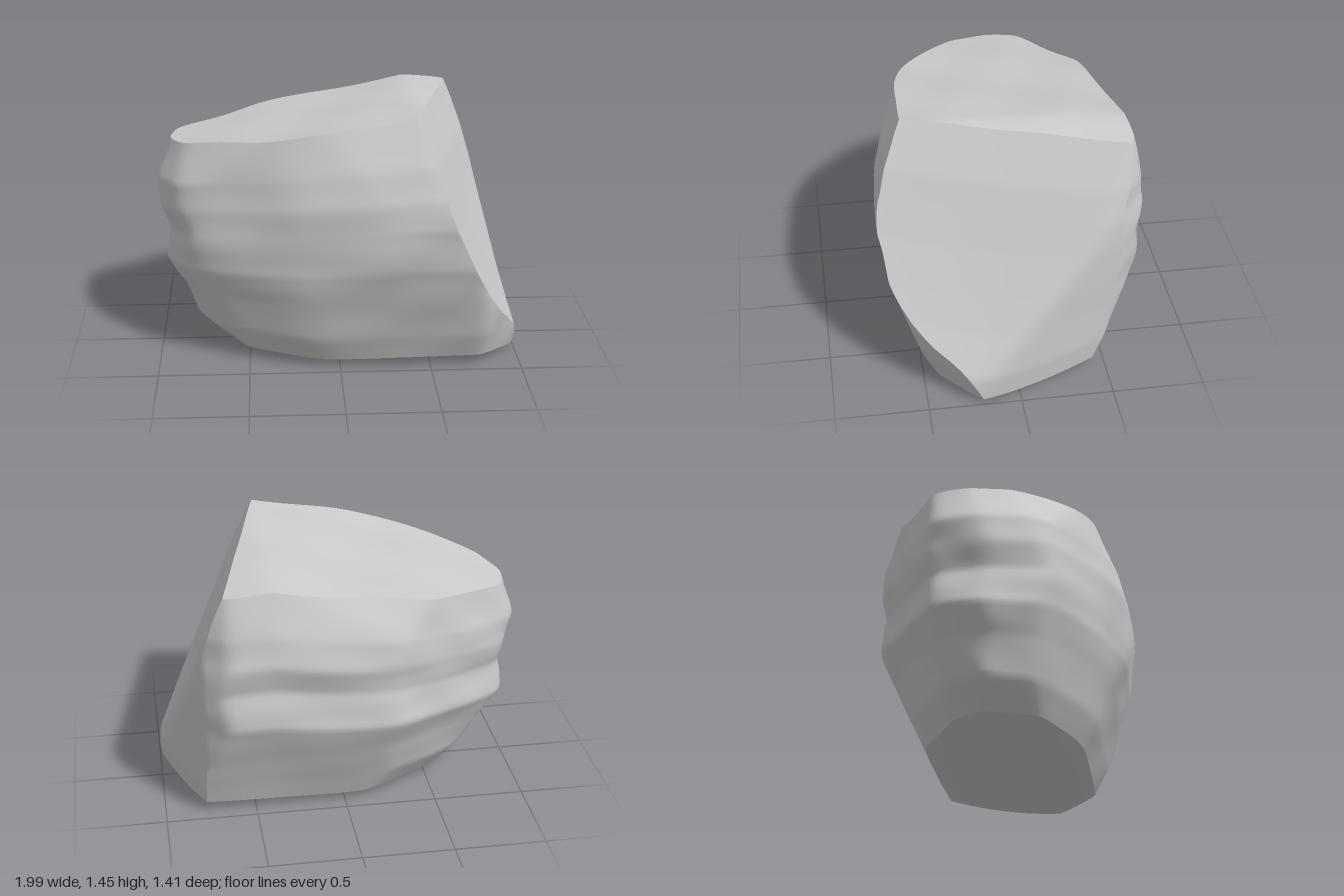
import * as THREE from 'three';
import { toCreasedNormals } from 'three/addons/utils/BufferGeometryUtils.js';

// Heights (0 = base, 1 = top rim) at which each side's distance is given
const LEVELS = [0, 0.1, 0.27, 0.4, 0.57, 0.69, 0.82, 1];

// Weathered sides: outward direction [x, z], then distance from the axis at each level
const SIDES = [
  { n: [-0.98, -0.2], d: [0.64, 0.80, 0.87, 0.97, 0.94, 0.97, 1.0, 0.95] },
  { n: [-0.85, -0.53], d: [0.57, 0.70, 0.82, 0.94, 0.91, 0.95, 0.96, 0.92] },
  { n: [-0.506, -0.862], d: [0.45, 0.55, 0.63, 0.71, 0.69, 0.72, 0.72, 0.69] },
  { n: [-0.12, -0.993], d: [0.44, 0.51, 0.62, 0.70, 0.68, 0.71, 0.69, 0.59] },
  { n: [0, -1], d: [0.44, 0.50, 0.61, 0.69, 0.67, 0.71, 0.69, 0.64] },
  { n: [0.707, -0.707], d: [0.87, 0.89, 0.91, 0.93, 0.95, 0.95, 0.94, 0.89] },
  { n: [0, 1], d: [0.43, 0.50, 0.59, 0.66, 0.70, 0.69, 0.64, 0.54] },
  { n: [-0.2, 0.98], d: [0.43, 0.50, 0.57, 0.62, 0.635, 0.635, 0.61, 0.55] },
  { n: [-0.4, 0.917], d: [0.44, 0.52, 0.58, 0.64, 0.65, 0.65, 0.63, 0.58] },
  { n: [-0.6, 0.8], d: [0.51, 0.60, 0.68, 0.74, 0.76, 0.76, 0.74, 0.62] },
  { n: [-0.907, 0.42], d: [0.58, 0.73, 0.81, 0.90, 0.88, 0.92, 0.92, 0.83] },
  { n: [0.756, 0.655], d: [0.86, 0.91, 0.97, 0.98, 0.93, 0.87, 0.80, 0.68] },
];
// Cleanly split right side, slightly bent along its middle
const SPLITS = [
  { n: [0.945, -0.327], d: [0.86, 0.88, 0.89, 0.90, 0.91, 0.91, 0.89, 0.85] },
  { n: [0.973, 0.229], d: [1.03, 1.01, 0.90, 0.825, 0.73, 0.67, 0.605, 0.49] },
];

// A side's distance at height v
function distanceAt(d, v) {
  let i = 0;
  while (i < LEVELS.length - 2 && v > LEVELS[i + 1]) i++;
  return THREE.MathUtils.mapLinear(v, LEVELS[i], LEVELS[i + 1], d[i], d[i + 1]);
}

// Distance from the axis to the nearest of some sides, with softened edges between them
function nearest(sides, angle, v, sharpness) {
  const c = Math.cos(angle), s = Math.sin(angle);
  let sum = 1e-30;
  for (const { n, d } of sides) {
    const k = (n[0] * c + n[1] * s) / distanceAt(d, v);
    if (k > 0) sum += k ** sharpness;
  }
  return sum ** (-1 / sharpness);
}

// Weathered surface with uneven lumps and worn ledges
function weathered(angle, v) {
  const r = nearest(SIDES, angle, v, 60);
  const x = Math.cos(angle) * r, z = Math.sin(angle) * r;
  return r * (1 + 0.005 * Math.sin(7 * x + 11 * v + 2 * z) + 0.004 * Math.sin(13 * z - 9 * x + 17 * v)
    + 0.003 * Math.sin(34 * v + 3 * x - 4 * z) * Math.sin(Math.PI * v));
}
const split = (angle, v) => nearest(SPLITS, angle, v, 45);

// Angle of the sharp edge where the split side meets the weathered ones
function edgeAngle(v, sign) {
  let inside = 0, outside = 1.5;
  for (let i = 0; i < 22; i++) {
    const mid = (inside + outside) / 2;
    if (split(sign * mid, v) < weathered(sign * mid, v)) inside = mid;
    else outside = mid;
  }
  return sign * inside;
}

// Sloping top and gently rounded base
const topY = (x, z) => 1.363 + 0.17 * x + 0.055 * z - 0.26 * Math.max(0, x - 0.4)
  + 0.004 * Math.sin(9 * x + 4 * z) + 0.003 * Math.sin(11 * z - 5 * x);
const baseY = (x, z) => 0.005 + 0.25 * z * z + 0.09 * Math.max(0, -x - 0.1) + 0.015 * Math.max(0, x);

function rockGeometry() {
  const AROUND = 216, RIGHT = 72, CAP = 10, UP = 56;
  const positions = [], indices = [];
  let rows = 0;
  // One ring of points, with a column on each sharp edge
  const addRow = (v, scale) => {
    const back = edgeAngle(v, -1), front = edgeAngle(v, 1);
    for (let j = 0; j < AROUND; j++) {
      const a = j < RIGHT
        ? THREE.MathUtils.mapLinear(j, 0, RIGHT, back, front)
        : THREE.MathUtils.mapLinear(j, RIGHT, AROUND, front, back + Math.PI * 2);
      const r = Math.min(weathered(a, v), split(a, v)) * scale;
      const x = Math.cos(a) * r, z = Math.sin(a) * r;
      positions.push(x, THREE.MathUtils.lerp(baseY(x, z), topY(x, z), v), z);
    }
    rows++;
  };
  for (let i = 1; i < CAP; i++) addRow(0, i / CAP);
  for (let i = 0; i <= UP; i++) addRow(i / UP, 1);
  for (let i = CAP - 1; i > 0; i--) addRow(1, i / CAP);

  const bottom = rows * AROUND, top = bottom + 1, last = (rows - 1) * AROUND;
  positions.push(0, baseY(0, 0), 0, 0, topY(0, 0), 0);
  for (let j = 0; j < AROUND; j++) {
    const k = (j + 1) % AROUND;
    indices.push(bottom, j, k);
    for (let i = 0; i < rows - 1; i++) {
      const a = i * AROUND + j, b = i * AROUND + k;
      indices.push(a, a + AROUND, b, b, a + AROUND, b + AROUND);
    }
    indices.push(last + j, top, last + k);
  }
  const geometry = new THREE.BufferGeometry();
  geometry.setAttribute('position', new THREE.Float32BufferAttribute(positions, 3));
  geometry.setIndex(indices);
  // Stand on the ground, centred
  geometry.computeBoundingBox();
  const box = geometry.boundingBox, mid = box.getCenter(new THREE.Vector3());
  geometry.translate(-mid.x, -box.min.y, -mid.z);
  return toCreasedNormals(geometry, 0.55);
}

export function createModel() {
  const group = new THREE.Group();
  group.name = 'boulder';
  const stone = new THREE.MeshStandardMaterial({ color: 0xcccccc });
  stone.name = 'pale stone';
  const rock = new THREE.Mesh(rockGeometry(), stone);
  rock.name = 'rock';
  group.add(rock);
  return group;
}
